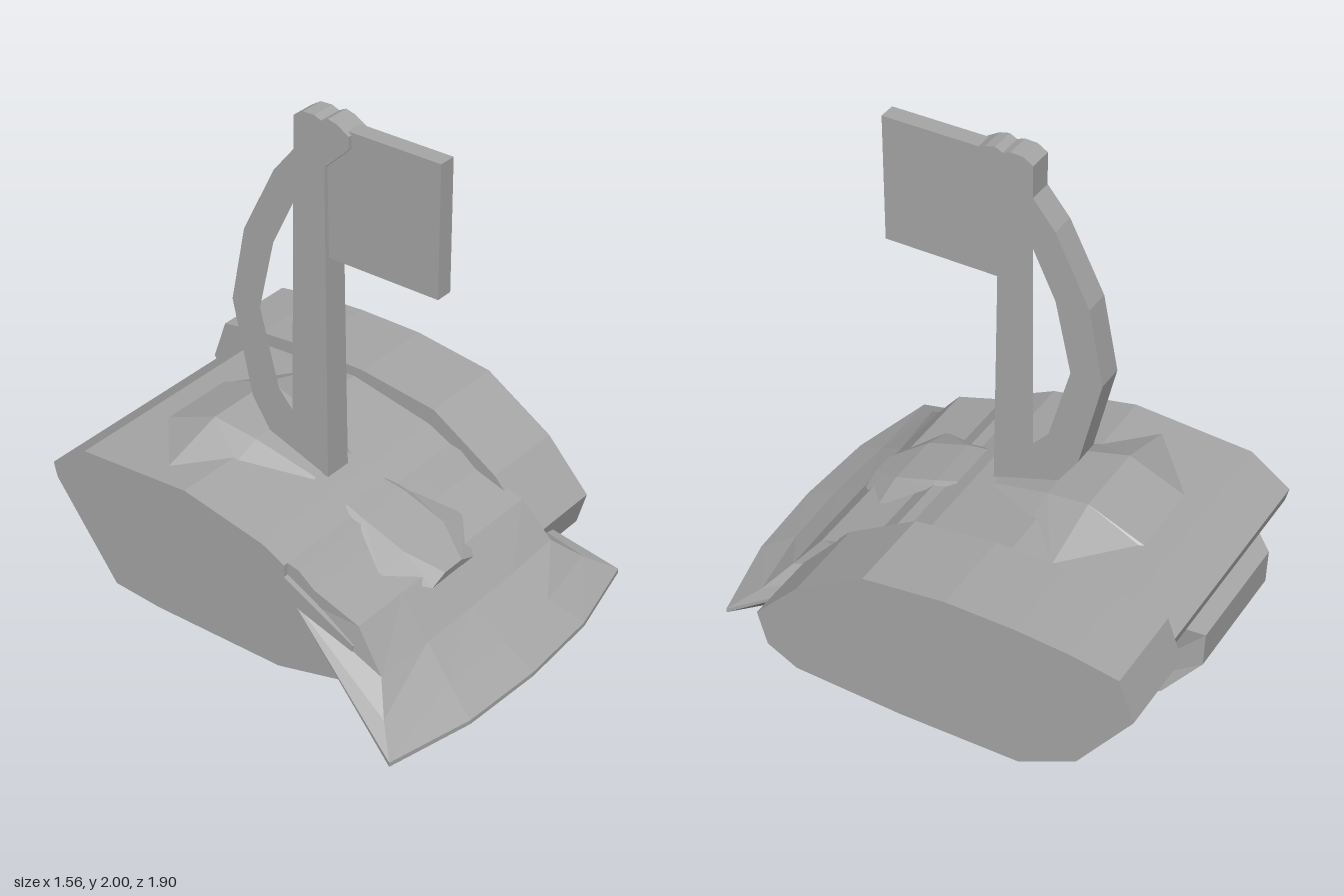
import * as THREE from 'three';

const CX = -0.055; // hull centre line
const grey = new THREE.MeshStandardMaterial({ color: 0xa6a6a6, flatShading: true });
grey.name = 'grey';
// Same grey, drawn from both sides for the lofted skins
const greySheet = grey.clone();
greySheet.side = THREE.DoubleSide;

const toPoints = (zy) => zy.map(([z, y]) => new THREE.Vector2(-z, y));

// Side profile given as [z, y] points, extruded from x0 to x1
function slab(name, zy, x0, x1, hole) {
  const shape = new THREE.Shape(toPoints(zy));
  if (hole) shape.holes.push(new THREE.Path(toPoints(hole)));
  const geo = new THREE.ExtrudeGeometry(shape, { depth: x1 - x0, bevelEnabled: false });
  geo.rotateY(Math.PI / 2).translate(x0, 0, 0);
  const mesh = new THREE.Mesh(geo, grey);
  mesh.name = name;
  return mesh;
}

// Skin over rows of [x, y, z] points; capped closes the ends of a looped section
function loft(name, rows, capped = false) {
  const n = rows[0].length, index = [];
  const count = capped ? rows.length : rows.length - 1;
  for (let r = 0; r < count; r++) {
    const a = r * n, b = ((r + 1) % rows.length) * n;
    for (let c = 0; c < n - 1; c++) index.push(a + c, b + c, a + c + 1, b + c, b + c + 1, a + c + 1);
  }
  if (capped) {
    const last = (rows.length - 1) * n;
    for (const c of [0, n - 1])
      for (let r = 0; r < rows.length - 2; r++) index.push(last + c, r * n + c, (r + 1) * n + c);
  }
  const geo = new THREE.BufferGeometry();
  geo.setAttribute('position', new THREE.Float32BufferAttribute(rows.flat(2), 3));
  geo.setIndex(index);
  geo.computeVertexNormals();
  const mesh = new THREE.Mesh(geo, greySheet);
  mesh.name = name;
  return mesh;
}

// Four-point ridge row: wide base and narrower crest
const ridge = (z, base, yBase, crest, yCrest) => [
  [CX - base, yBase, z], [CX - crest, yCrest, z], [CX + crest, yCrest, z], [CX + base, yBase, z]];

export function createModel() {
  const model = new THREE.Group();
  model.name = 'model';

  // Main hull, its deck sloping down towards the front
  model.add(slab('hull', [
    [0.53, 0.27], [0.22, 0.43], [0.22, 0.48], [0.12, 0.53], [-0.24, 0.605], [-0.73, 0.575],
    [-0.895, 0.46], [-0.88, 0.4], [-0.6, 0.03], [-0.39, 0.015], [0.19, 0.02], [0.5, 0.1],
  ], -0.575, 0.42));

  // Side pod
  model.add(slab('sidePod', [
    [0.615, 0.22], [0.43, 0.42], [0.14, 0.6], [-0.2, 0.645], [-0.48, 0.645], [-0.7, 0.63],
    [-0.89, 0.6], [-0.95, 0.43], [-0.73, 0.13], [-0.5, 0.01], [0, 0], [0.45, 0.015], [0.575, 0.08],
  ], 0.42, 0.78));

  // Rear bulge with chamfered ends, tucked under the deck edge
  const bulge = [[-0.6, 0.4, 0.32], [-0.88, 0.4, 0.3], [-0.94, 0.365, 0.26], [-0.935, 0.22, 0.26],
    [-0.8, 0.07, 0.32], [-0.59, 0.05, 0.38]];
  model.add(loft('rearBulge', bulge.map(([z, y, w]) => [[CX - w, y, z], [CX + w, y, z]]), true));

  // Flared front plough: [half width, y, z at the sides, z at the middle]
  const plough = [
    [0.5, 0.48, 0.22, 0.22], [0.5, 0.47, 0.27, 0.27], [0.5, 0.415, 0.34, 0.34], [0.5, 0.35, 0.54, 0.54],
    [0.525, 0.2, 0.66, 0.67], [0.62, 0.11, 0.745, 0.81], [0.72, 0.038, 0.845, 0.95],
    [0.72, 0.02, 0.845, 0.95], [0.53, 0.02, 0.66, 0.66], [0.5, 0.2, 0.5, 0.5], [0.5, 0.35, 0.22, 0.22],
  ];
  model.add(loft('plough', plough.map(([w, y, zs, zm]) => [-1, -0.5, 0, 0.5, 1].map(
    (t) => [CX + w * t, y, zm + (zs - zm) * Math.pow(Math.abs(t), 2.4)])), true));

  // Raised mound on the deck
  model.add(loft('deckMound', [
    ridge(-0.63, 0.17, 0.575, 0.16, 0.582), ridge(-0.4, 0.44, 0.59, 0.16, 0.677),
    ridge(-0.22, 0.25, 0.598, 0.14, 0.64), ridge(0.03, 0.12, 0.545, 0.1, 0.553),
  ]));

  // Nose bump with a small overhanging lip
  model.add(loft('noseBump', [
    ridge(0.18, 0.125, 0.495, 0.11, 0.503), ridge(0.27, 0.15, 0.465, 0.12, 0.48),
    ridge(0.45, 0.255, 0.375, 0.12, 0.418), ridge(0.585, 0.125, 0.318, 0.05, 0.345),
    ridge(0.575, 0.1, 0.305, 0.06, 0.305), ridge(0.53, 0.1, 0.31, 0.06, 0.31),
  ]));

  // Upright mast with a bowed rear handle, tapering slightly upward
  const mast = slab('mast', [
    [0.055, 0.535], [0.035, 1.81], [0.14, 1.91], [0.14, 1.96], [0.09, 1.99], [0.05, 2], [0.02, 1.985],
    [-0.01, 1.997], [-0.06, 1.995], [-0.1, 1.97], [-0.1, 1.84], [-0.19, 1.73], [-0.33, 1.45],
    [-0.39, 1.14], [-0.3, 0.76], [-0.22, 0.64], [-0.2, 0.535],
  ], -0.115, 0.003, [[-0.103, 1.63], [-0.195, 1.44], [-0.26, 1.15], [-0.175, 0.84], [-0.112, 0.77]]);
  const p = mast.geometry.attributes.position;
  for (let i = 0; i < p.count; i++)
    p.setX(i, CX + (p.getX(i) - CX) * (1 - 0.1 * (p.getY(i) - 0.535)));
  mast.geometry.computeVertexNormals();
  model.add(mast);

  // Flag panel
  const panel = new THREE.Mesh(new THREE.BoxGeometry(0.07, 0.52, 0.48), grey);
  panel.name = 'flagPanel';
  panel.position.set(CX, 1.71, 0.275);
  model.add(panel);

  return model;
}
